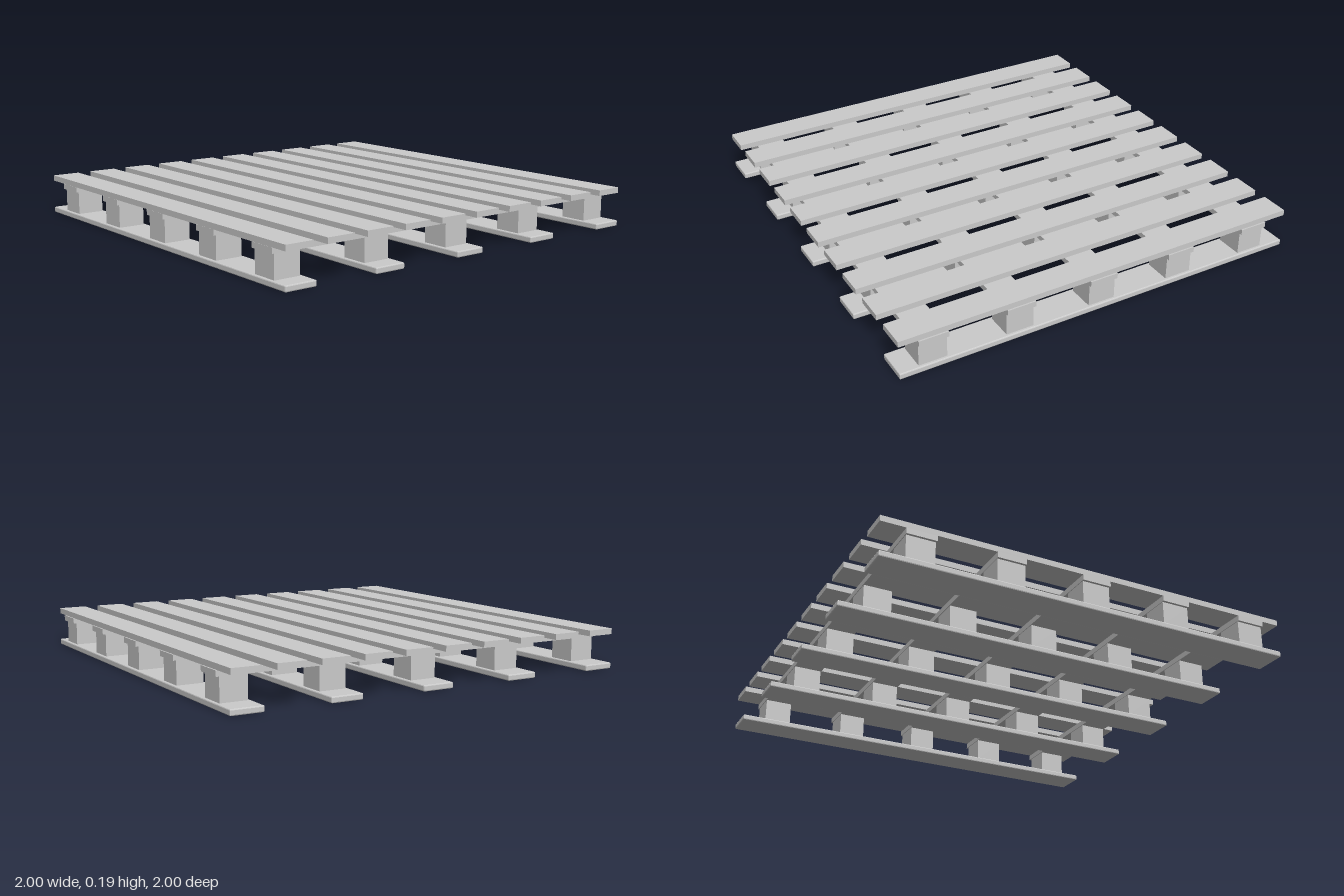
import * as THREE from 'three';
import { RoundedBoxGeometry } from 'three/addons/geometries/RoundedBoxGeometry.js';

export function createModel() {
  const pallet = new THREE.Group();
  pallet.name = 'pallet';
  const material = new THREE.MeshStandardMaterial({ color: 0xcccccc, flatShading: true });

  const layer = (name) => {
    const group = new THREE.Group();
    group.name = name;
    pallet.add(group);
    return group;
  };
  const add = (group, name, geometry, x, y, z) => {
    const mesh = new THREE.Mesh(geometry, material);
    mesh.name = name;
    mesh.position.set(x, y, z);
    group.add(mesh);
  };
  const spread = (from, to, count) =>
    Array.from({ length: count }, (_, i) => from + ((to - from) * i) / (count - 1));

  const columns = spread(-0.922, 0.918, 5); // runner and block positions in x
  const rows = spread(-0.815, 0.842, 5); // cross board and block positions in z

  // Bottom runners with slightly eased edges
  const runners = layer('bottomRunners');
  const runner = new RoundedBoxGeometry(0.154, 0.028, 2, 1, 0.005);
  for (const x of columns) add(runners, 'bottomRunner', runner, x, 0.014, 0);

  // Spacer blocks between the runners and cross boards
  const blocks = layer('spacerBlocks');
  const block = new THREE.BoxGeometry(0.127, 0.11, 0.132);
  for (const x of columns) {
    for (const z of rows) add(blocks, 'spacerBlock', block, x, 0.082, z);
  }

  // Cross boards spanning the width
  const crossBoards = layer('crossBoards');
  const crossBoard = new THREE.BoxGeometry(1.995, 0.026, 0.138);
  for (const z of rows) add(crossBoards, 'crossBoard', crossBoard, 0, 0.15, z);

  // Top deck slats
  const deck = layer('topDeck');
  const slat = new THREE.BoxGeometry(0.137, 0.027, 2);
  for (const x of spread(-0.928, 0.922, 10)) add(deck, 'deckSlat', slat, x, 0.1765, 0);

  return pallet;
}
